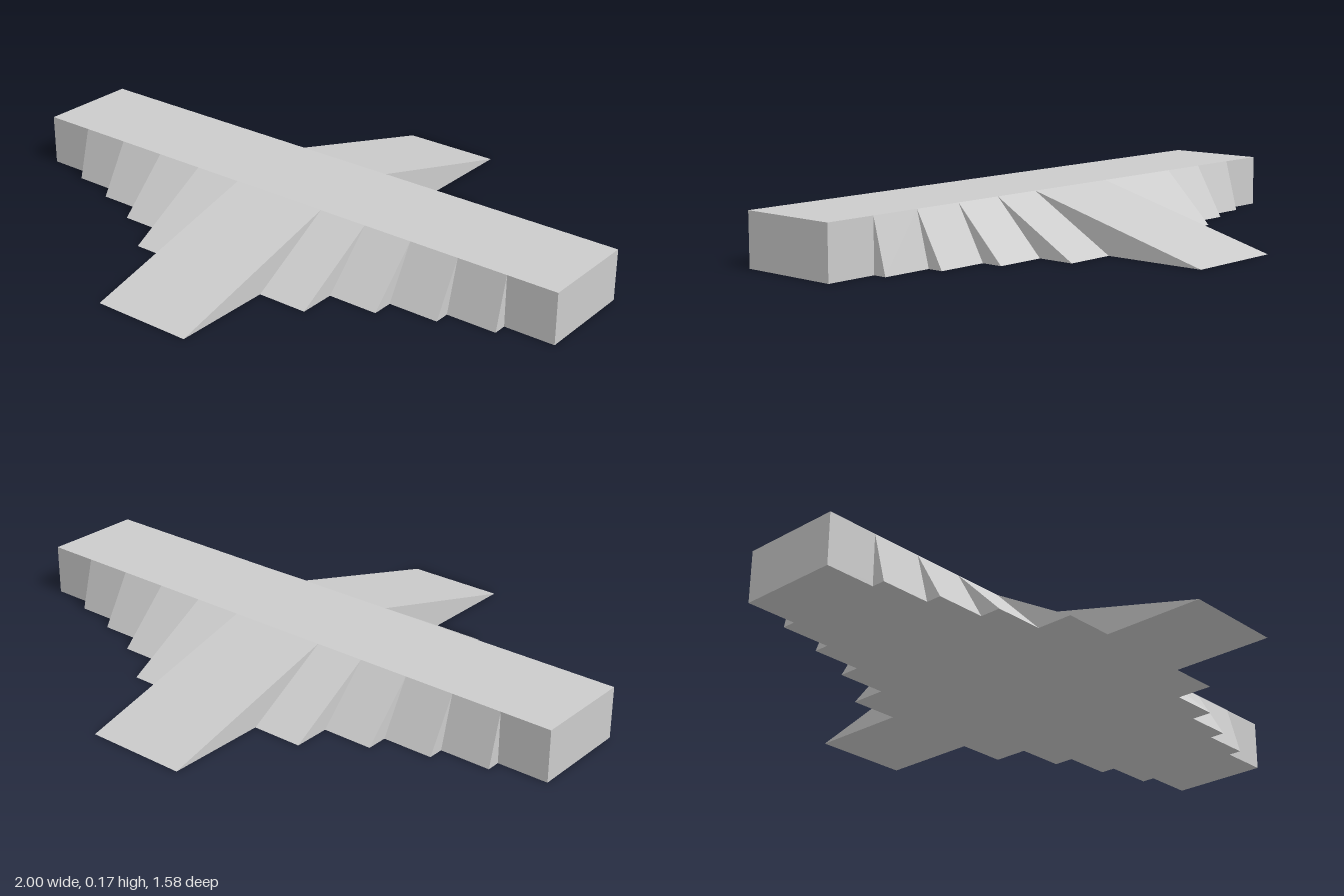
import * as THREE from 'three';

const H = 1 / 6; // bar height, also half its depth and one step of width

export function createModel() {
  const group = new THREE.Group();
  const material = new THREE.MeshStandardMaterial({ color: 0xcccccc, flatShading: true });

  // Long central bar
  const bar = new THREE.Mesh(new THREE.BoxGeometry(2, H, 2 * H), material);
  bar.name = 'bar';
  bar.position.y = H / 2;
  group.add(bar);

  // Wedge sloping down from the bar's top edge at the given angle
  function addRamp(name, x, width, degrees, side) {
    const run = H / Math.tan(THREE.MathUtils.degToRad(degrees));
    const profile = new THREE.Shape();
    profile.moveTo(H, 0);
    profile.lineTo(H + run, 0);
    profile.lineTo(H, H);
    profile.closePath();
    const geometry = new THREE.ExtrudeGeometry(profile, { depth: width, bevelEnabled: false });
    geometry.translate(0, 0, -width / 2);
    geometry.rotateY(-side * Math.PI / 2);
    const ramp = new THREE.Mesh(geometry, material);
    ramp.name = name;
    ramp.position.x = x;
    group.add(ramp);
  }

  // Ramps grow steeper by 15 degrees per step from the centre outwards
  for (const side of [1, -1]) {
    const face = side > 0 ? 'front' : 'back';
    addRamp(`${face}CentreRamp`, 0, 2 * H, 15, side);
    for (let i = 1; i <= 4; i++) {
      const x = (i + 0.5) * H;
      addRamp(`${face}LeftRamp${i}`, x, H, 15 * (i + 1), side);
      addRamp(`${face}RightRamp${i}`, -x, H, 15 * (i + 1), side);
    }
  }
  return group;
}
